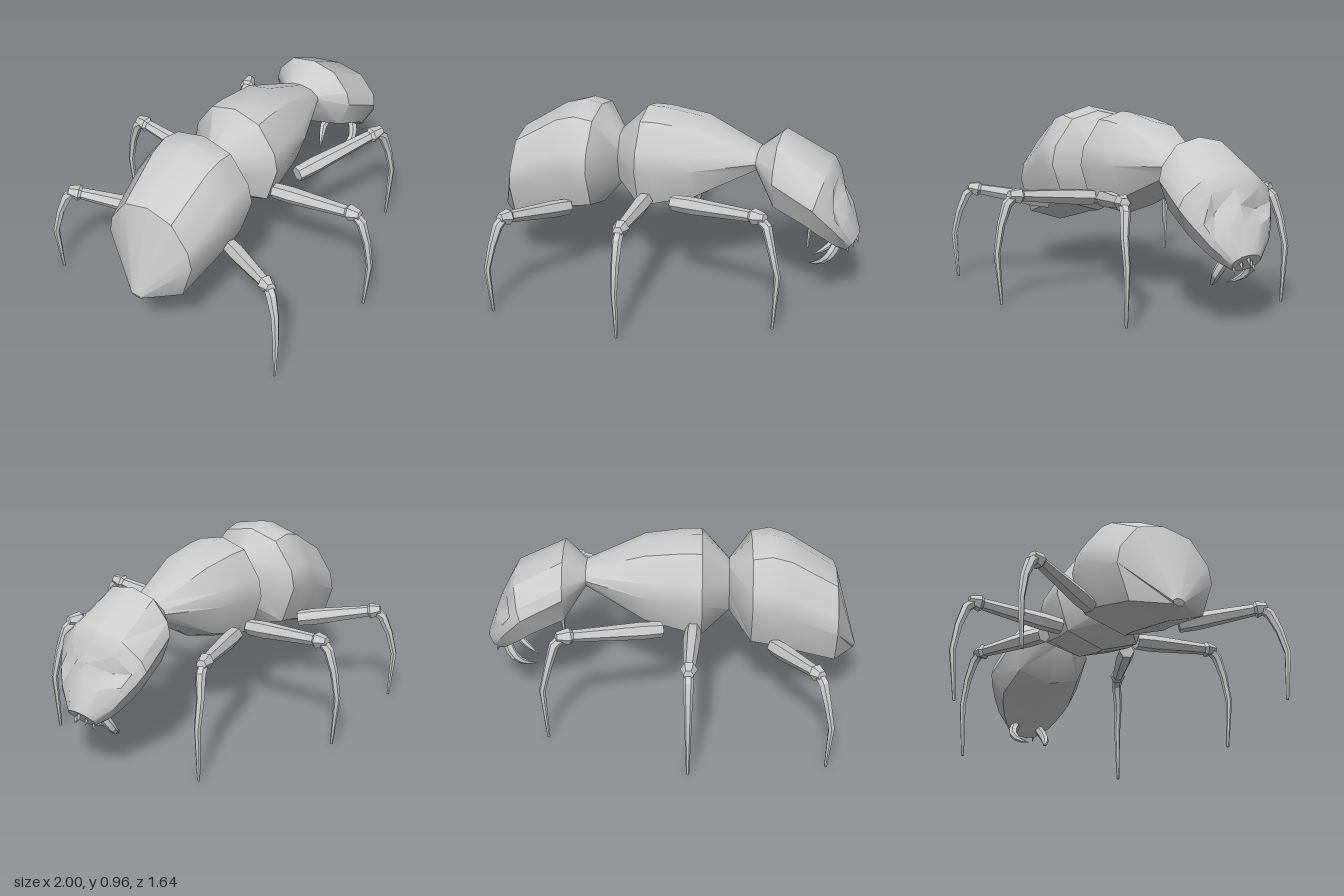
import * as THREE from 'three';
import { toCreasedNormals } from 'three/addons/utils/BufferGeometryUtils.js';

const V = (x, y, z) => new THREE.Vector3(x, y, z);
const material = new THREE.MeshStandardMaterial({ color: 0xcccccc });

// Skin a list of rings (equal point counts) and close both ends
function loft(name, rings, crease = 0.6) {
  const n = rings[0].length, pos = [];
  const tri = (...pts) => pts.forEach(p => pos.push(p.x, p.y, p.z));
  for (let i = 0; i < rings.length - 1; i++) {
    for (let j = 0; j < n; j++) {
      const k = (j + 1) % n;
      const a = rings[i][j], b = rings[i][k], c = rings[i + 1][k], d = rings[i + 1][j];
      tri(a, b, c);
      tri(a, c, d);
    }
  }
  const middle = ring => ring.reduce((s, p) => s.add(p), V(0, 0, 0)).divideScalar(n);
  const first = rings[0], last = rings[rings.length - 1];
  const m0 = middle(first), m1 = middle(last);
  for (let j = 0; j < n; j++) {
    const k = (j + 1) % n;
    tri(m0, first[k], first[j]);
    tri(m1, last[j], last[k]);
  }
  const geo = new THREE.BufferGeometry();
  geo.setAttribute('position', new THREE.Float32BufferAttribute(pos, 3));
  const mesh = new THREE.Mesh(toCreasedNormals(geo, crease), material);
  mesh.name = name;
  return mesh;
}

// Body section: half outline as [width fraction, height fraction], mirrored
const HALF = [[0, 1], [0.56, 0.93], [0.93, 0.68], [1, 0.5], [0.76, 0.13], [0, 0]];
function section([xTop, yTop, xBot, yBot, w, dent = 0]) {
  const point = (i, side) => {
    const [fw, fh] = HALF[i];
    const d = i === 1 ? dent : 0;
    return V(xBot + (xTop - xBot) * fh - d, yBot + (yTop - yBot) * fh - d * 0.5, side * w * fw);
  };
  return [0, 1, 2, 3, 4, 5].map(i => point(i, 1)).concat([4, 3, 2, 1].map(i => point(i, -1)));
}
const upright = ([x, top, bot, w]) => section([x, top, x, bot, w]);

// Faceted limb along a path bending in the plane perpendicular to n
function limb(name, path, radii, n, sides = 6) {
  const rings = path.map((p, i) => {
    const t = path[Math.min(i + 1, path.length - 1)].clone().sub(path[Math.max(i - 1, 0)]).normalize();
    const u = n.clone().addScaledVector(t, -n.dot(t)).normalize();
    const v = t.clone().cross(u);
    return Array.from({ length: sides }, (_, j) => {
      const a = j / sides * Math.PI * 2;
      return p.clone().addScaledVector(u, Math.cos(a) * radii[i]).addScaledVector(v, Math.sin(a) * radii[i]);
    });
  });
  return loft(name, rings, 0.4);
}

// Leg: thick upper segment, flared knee collar, thin bowed lower segment
function leg(name, root, knee, bow, foot, side) {
  const m = p => V(p[0], p[1], p[2] * side);
  const [r, k, b, f] = [root, knee, bow, foot].map(m);
  const group = new THREE.Group();
  group.name = name;
  const n = V(0, 1, 0).cross(k.clone().sub(r)).normalize();
  const at = s => r.clone().lerp(k, s);
  group.add(limb('upperLeg', [at(0), at(0.2), at(0.85), at(0.88), at(1)],
    [0.042, 0.046, 0.031, 0.044, 0.026], n));
  const shin = k.clone().lerp(b, 0.15);
  group.add(limb('lowerLeg', [at(0.93), shin, k.clone().lerp(b, 0.55).add(m([0, 0.01, 0.008])), b, f],
    [0.026, 0.027, 0.021, 0.017, 0.008], n));
  return group;
}

export function createModel() {
  const model = new THREE.Group();
  model.name = 'insect';

  // Abdomen, from slanted tail tip to waist: x, top, bottom, half width
  const abdomen = [[-0.87, 0.77, 0.25, 0.26], [-0.62, 0.93, 0.32, 0.295], [-0.52, 0.96, 0.35, 0.305],
    [-0.42, 0.94, 0.37, 0.295], [-0.305, 0.815, 0.51, 0.1]].map(upright);
  model.add(loft('abdomen', [section([-1, 0.31, -0.985, 0.28, 0.03]), ...abdomen]));

  // Thorax, from waist to neck
  model.add(loft('thorax', [[-0.305, 0.815, 0.51, 0.1], [-0.16, 0.96, 0.4, 0.265], [-0.07, 0.96, 0.415, 0.258],
    [0.14, 0.93, 0.485, 0.235], [0.45, 0.79, 0.68, 0.11]].map(upright)));

  // Head: tilting sections, with sunken eye sockets
  model.add(loft('head', [
    [0.45, 0.79, 0.45, 0.68, 0.11],
    [0.565, 0.89, 0.565, 0.49, 0.24],
    [0.83, 0.75, 0.74, 0.42, 0.275],
    [0.87, 0.68, 0.79, 0.38, 0.25],
    [0.91, 0.6, 0.84, 0.345, 0.215, 0.045],
    [0.945, 0.51, 0.88, 0.315, 0.175],
    [0.995, 0.37, 0.925, 0.28, 0.085]
  ].map(section)));

  for (const side of [1, -1]) {
    const tag = side > 0 ? 'Left' : 'Right';
    model.add(leg('frontLeg' + tag, [0.05, 0.53, 0.25], [0.58, 0.6, 0.445], [0.66, 0.3, 0.485], [0.642, 0, 0.478], side));
    model.add(leg('middleLeg' + tag, [-0.115, 0.51, 0.22], [-0.092, 0.568, 0.73], [-0.092, 0.27, 0.805], [-0.092, 0, 0.783], side));
    model.add(leg('rearLeg' + tag, [-0.54, 0.43, 0.25], [-0.755, 0.515, 0.65], [-0.81, 0.25, 0.72], [-0.797, 0, 0.707], side));

    // Curved fangs under the jaw
    const fang = new THREE.CatmullRomCurve3([V(0.89, 0.33, 0.075 * side), V(0.86, 0.27, 0.1 * side),
      V(0.81, 0.215, 0.085 * side), V(0.74, 0.178, 0.045 * side)]).getPoints(5);
    model.add(limb('fang' + tag, fang, [0.026, 0.026, 0.023, 0.018, 0.011, 0.001], V(0, 0, 1)));
  }

  // Small teeth around the mouth rim
  for (let i = -2; i <= 2; i++) {
    const drop = Math.abs(i) * 0.02;
    const tooth = new THREE.Mesh(new THREE.ConeGeometry(0.015, 0.055, 4).toNonIndexed(), material);
    tooth.geometry.computeVertexNormals();
    tooth.name = 'tooth';
    tooth.position.set(0.982 - drop, 0.335 - drop, i * 0.03);
    tooth.quaternion.setFromUnitVectors(V(0, 1, 0), V(0.35, -0.93, 0).normalize());
    model.add(tooth);
  }
  return model;
}
